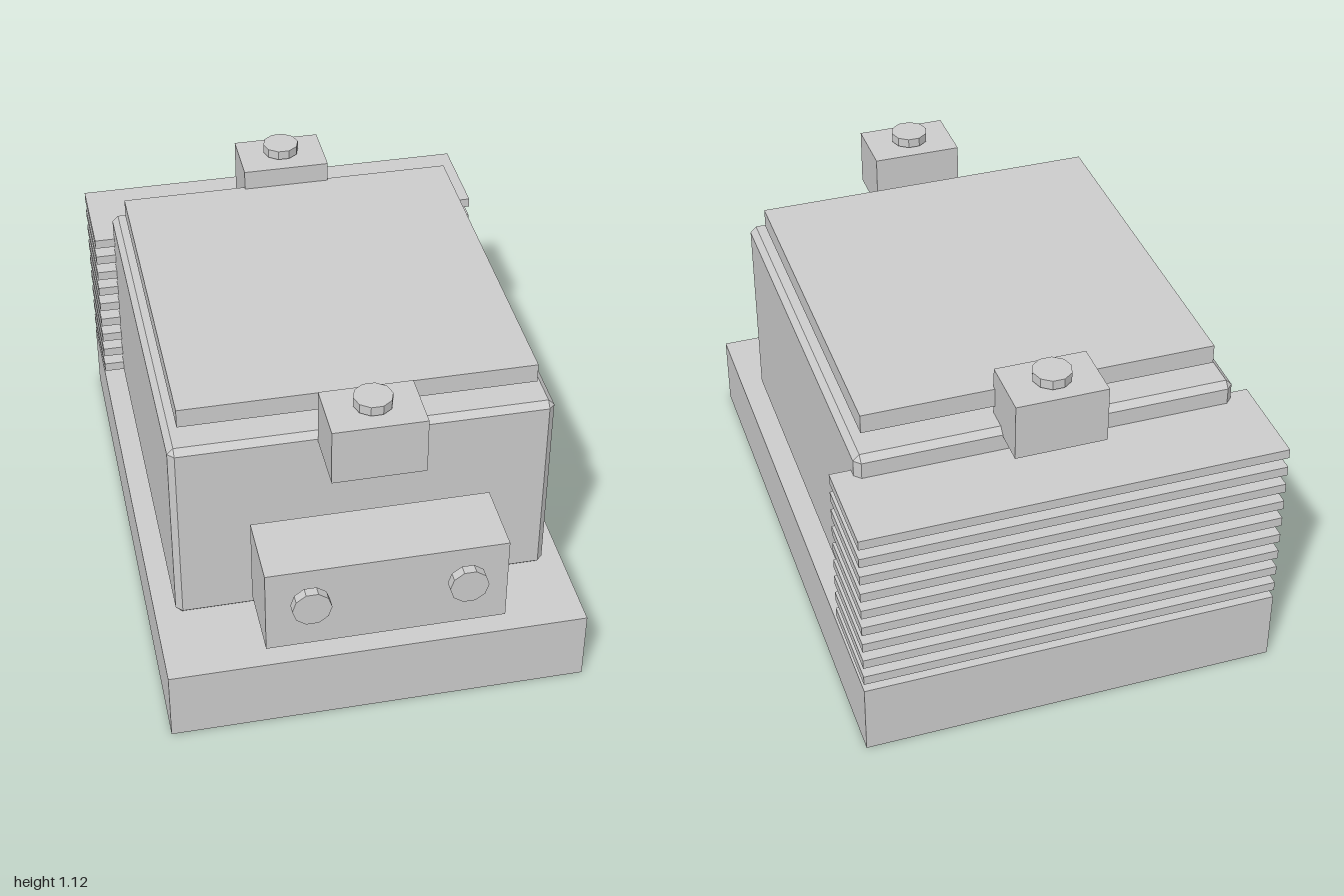
import * as THREE from 'three';
import { ConvexGeometry } from 'three/addons/geometries/ConvexGeometry.js';

const grey = new THREE.MeshStandardMaterial({ color: 0xcccccc });
grey.name = 'light grey';

// Box centred on x, given its full width and its y and z ranges
function box(name, width, y0, y1, z0, z1) {
  const mesh = new THREE.Mesh(new THREE.BoxGeometry(width, y1 - y0, z1 - z0), grey);
  mesh.position.set(0, (y0 + y1) / 2, (z0 + z1) / 2);
  mesh.name = name;
  return mesh;
}

// Box with every edge cut by a small flat chamfer
function chamferedBox(name, width, y0, y1, z0, z1, c) {
  const half = [width / 2, (y1 - y0) / 2, (z1 - z0) / 2];
  const points = [];
  for (const sx of [-1, 1]) for (const sy of [-1, 1]) for (const sz of [-1, 1]) {
    for (let axis = 0; axis < 3; axis++) {
      const [x, y, z] = half.map((h, i) => (i === axis ? h : h - c));
      points.push(new THREE.Vector3(sx * x, sy * y, sz * z));
    }
  }
  const mesh = new THREE.Mesh(new ConvexGeometry(points), grey);
  mesh.position.set(0, (y0 + y1) / 2, (z0 + z1) / 2);
  mesh.name = name;
  return mesh;
}

// Short faceted bolt head, standing upright
const boltGeometry = new THREE.CylinderGeometry(0.061, 0.061, 0.031, 10).rotateY(Math.PI / 2).toNonIndexed();
boltGeometry.computeVertexNormals();
function bolt(name, x, y, z) {
  const mesh = new THREE.Mesh(boltGeometry, grey);
  mesh.position.set(x, y, z);
  mesh.name = name;
  return mesh;
}

export function createModel() {
  const model = new THREE.Group();
  model.name = 'finnedHousing';

  // Base slab, housing and raised lid
  model.add(box('base', 1.346, 0, 0.243, -1, 0.884));
  model.add(chamferedBox('housing', 1.21, 0.245, 0.915, -0.73, 0.613, 0.02));
  model.add(box('lid', 1.128, 0.947, 1.011, -0.653, 0.535));

  // Stack of cooling fins at the back
  const fins = new THREE.Group();
  fins.name = 'coolingFins';
  for (let i = 0; i < 9; i++) {
    const y = 0.288 + i * 0.067;
    fins.add(box('fin', 1.346, y - 0.016, y + 0.016, -1, -0.682));
  }
  model.add(fins);

  // Latch blocks at front and back, each with a bolt on top
  for (const [name, z] of [['frontLatch', 0.717], ['backLatch', -0.741]]) {
    const latch = new THREE.Group();
    latch.name = name;
    latch.add(box('latchBlock', 0.292, 0.889, 1.078, z - 0.1, z + 0.1));
    latch.add(bolt('latchBolt', 0, 1.102, z - 0.004));
    model.add(latch);
  }

  // Terminal block in front with two screws
  const terminal = new THREE.Group();
  terminal.name = 'terminal';
  terminal.add(box('terminalBlock', 0.752, 0.381, 0.675, 0.71, 0.95));
  for (const side of [-1, 1]) {
    const screw = bolt('terminalScrew', side * 0.242, 0.566, 0.9845);
    screw.rotation.x = Math.PI / 2;
    terminal.add(screw);
  }
  model.add(terminal);

  return model;
}
